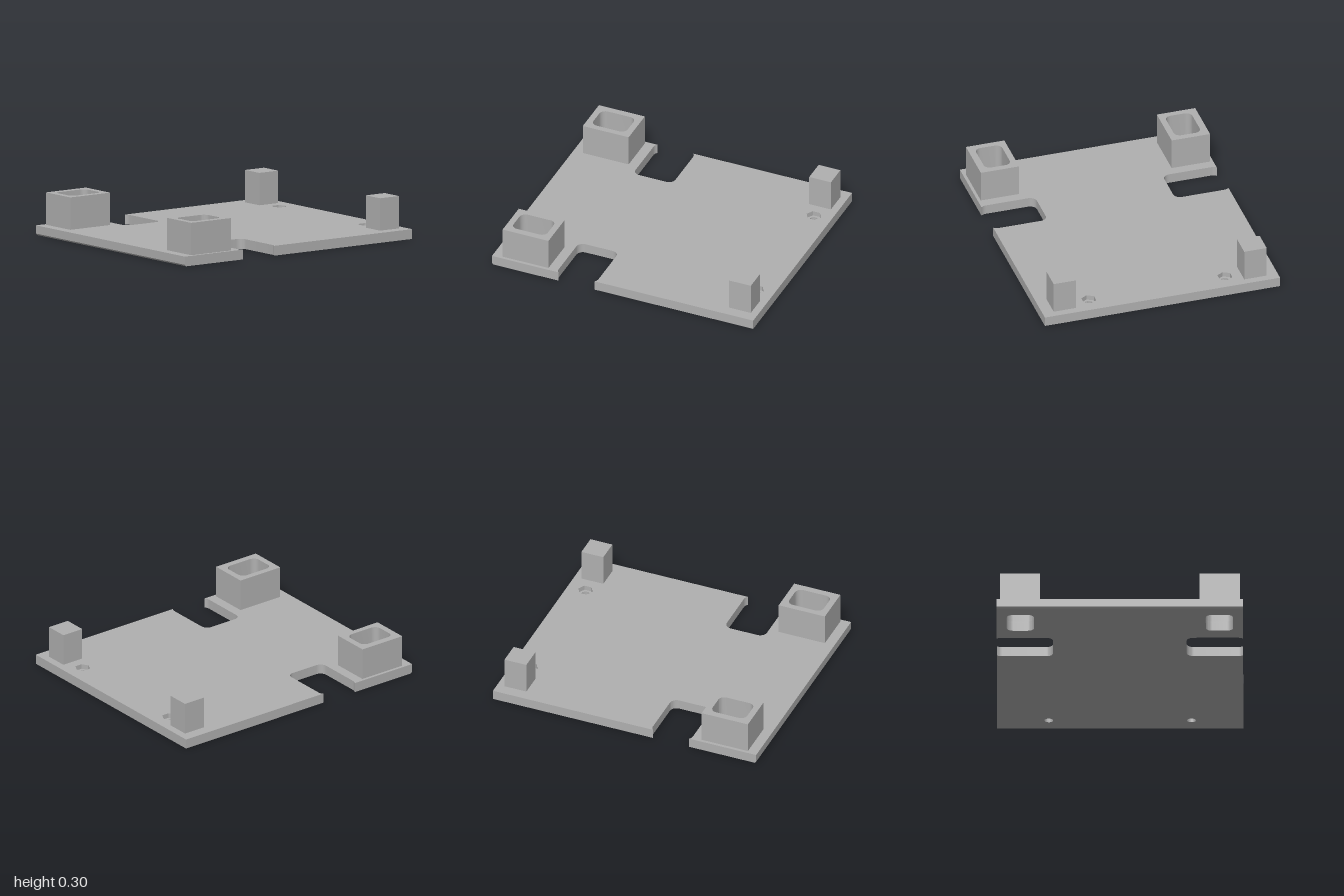
import * as THREE from 'three';
import { toCreasedNormals } from 'three/addons/utils/BufferGeometryUtils.js';

const HALF_DEPTH = 0.864, THICK = 0.07, TOP = 0.3;
const NUT = { x: 0.866, z: 0.5, hex: 0.054, bore: 0.031, floor: 0.035 };
const TOWER = { x0: -0.928, x1: -0.577, z0: 0.56, z1: 0.842 };
const WELL = { x0: -0.884, x1: -0.622, z0: 0.602, z1: 0.794, r: 0.045 };

// Points along an arc
function arc(cx, cy, r, from, to, n = 8) {
  return Array.from({ length: n + 1 }, (_, i) => {
    const a = from + ((to - from) * i) / n;
    return new THREE.Vector2(cx + r * Math.cos(a), cy + r * Math.sin(a));
  });
}

function rectPoints(x0, y0, x1, y1) {
  return [[x0, y0], [x1, y0], [x1, y1], [x0, y1]].map(([x, y]) => new THREE.Vector2(x, y));
}

function roundedRectPoints(x0, y0, x1, y1, r) {
  const q = Math.PI / 2;
  return [
    ...arc(x0 + r, y0 + r, r, 2 * q, 3 * q), ...arc(x1 - r, y0 + r, r, 3 * q, 4 * q),
    ...arc(x1 - r, y1 - r, r, 0, q), ...arc(x0 + r, y1 - r, r, q, 2 * q),
  ];
}

const circlePoints = (x, y, r, n) => arc(x, y, r, 0, Math.PI * 2, n).slice(0, n);

// Extrude a plan outline upwards from the given height
function slab(outline, holes, height, y, steps = 1) {
  const shape = new THREE.Shape(outline);
  shape.holes = holes.map((h) => new THREE.Path(h));
  const geo = new THREE.ExtrudeGeometry(shape, { depth: height, steps, bevelEnabled: false });
  return geo.rotateX(-Math.PI / 2).translate(0, y, 0);
}

// Edge slot with rounded inner corners and a slightly pinched mouth
function slotPoints() {
  const xl = -0.505, xr = -0.2, r = 0.05, inner = -0.468, q = Math.PI / 2;
  const mouth = -HALF_DEPTH + 0.036, bite = Math.asin(0.036 / r);
  return [
    ...arc(xl + r, mouth, r, 2 * q + bite, 2 * q), ...arc(xl + r, inner - r, r, 2 * q, q),
    ...arc(xr - r, inner - r, r, q, 0), ...arc(xr - r, mouth, r, 0, -bite),
  ];
}

export function createModel() {
  const group = new THREE.Group();
  const grey = new THREE.MeshStandardMaterial({ color: 0xb0b0b0 });
  grey.name = 'grey plastic';
  const add = (name, geo) => {
    const mesh = new THREE.Mesh(toCreasedNormals(geo, 0.6), grey);
    mesh.name = name;
    group.add(mesh);
  };

  // Base plate with two edge slots, two wells and two nut pockets
  const frontEdge = [new THREE.Vector2(-1, -HALF_DEPTH), ...slotPoints(), new THREE.Vector2(1, -HALF_DEPTH)];
  const backEdge = frontEdge.map((p) => new THREE.Vector2(p.x, -p.y)).reverse();
  const wellAt = (s) => roundedRectPoints(WELL.x0, s > 0 ? WELL.z0 : -WELL.z1, WELL.x1, s > 0 ? WELL.z1 : -WELL.z0, WELL.r);
  const holes = [1, -1].flatMap((s) => [wellAt(s), circlePoints(NUT.x, s * NUT.z, NUT.hex, 6)]);
  const plate = slab([...frontEdge, ...backEdge], holes, THICK, 0, 6);

  // Small chamfer along the bottom of the right-hand edge
  const pos = plate.attributes.position;
  for (let i = 0; i < pos.count; i++) {
    if (pos.getY(i) < 0.001 && pos.getX(i) < -0.999) pos.setX(i, -0.99);
  }
  add('basePlate', plate);

  for (const s of [1, -1]) {
    const side = s > 0 ? 'back' : 'front';

    // Hollow tower around the well
    const [z0, z1] = s > 0 ? [TOWER.z0, TOWER.z1] : [-TOWER.z1, -TOWER.z0];
    add(side + 'Tower', slab(rectPoints(TOWER.x0, z0, TOWER.x1, z1), [wellAt(s)], TOP - THICK, THICK));

    // Solid corner post
    const post = new THREE.BoxGeometry(0.166, TOP - THICK, 0.165);
    add(side + 'Post', post.translate(0.863, (TOP + THICK) / 2, -s * 0.7));

    // Floor of the nut pocket, with a round bore
    const hex = circlePoints(NUT.x, s * NUT.z, NUT.hex, 6);
    add(side + 'NutPocketFloor', slab(hex, [circlePoints(NUT.x, s * NUT.z, NUT.bore, 24)], NUT.floor, 0));
  }
  return group;
}
